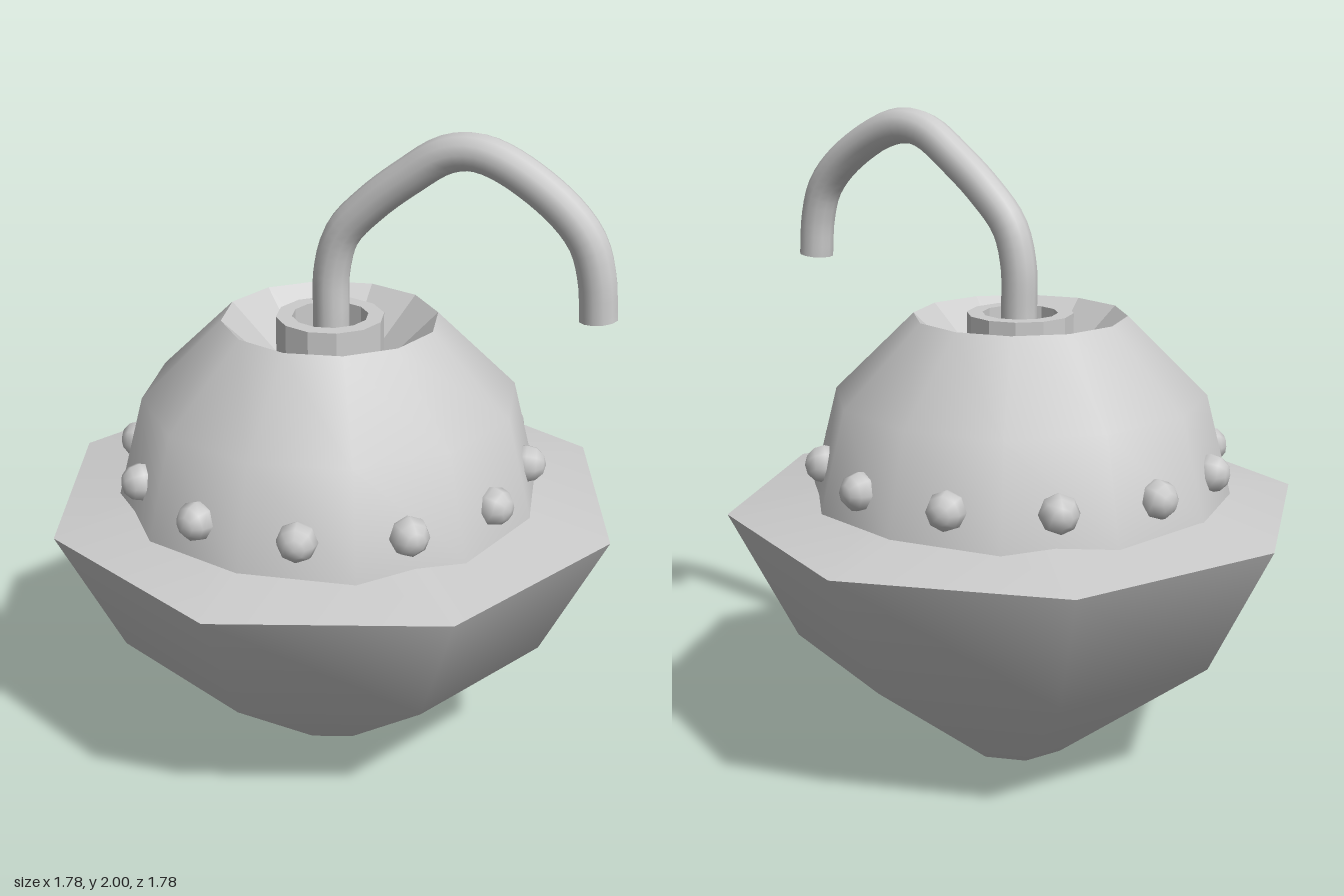
import * as THREE from 'three';

const smooth = new THREE.MeshStandardMaterial({ color: 0xcccccc });
const faceted = new THREE.MeshStandardMaterial({ color: 0xcccccc, flatShading: true });

function add(parent, name, geometry, material = smooth) {
  const mesh = new THREE.Mesh(geometry, material);
  mesh.name = name;
  parent.add(mesh);
  return mesh;
}

// Revolve [radius, height] pairs; profiles run so that the outside faces out
const lathe = (points, sides) =>
  new THREE.LatheGeometry(points.map(([r, y]) => new THREE.Vector2(r, y)), sides);

export function createModel() {
  const model = new THREE.Group();

  // Octagonal hull: flat foot, flared sides and a gently sloping deck
  const hull = new THREE.Group();
  hull.name = 'hull';
  model.add(hull);
  add(hull, 'hullFoot', lathe([[0, 0], [0.17, 0]], 8));
  add(hull, 'hullSides', lathe([[0.17, 0], [0.69, 0.41], [0.89, 0.815]], 8));
  add(hull, 'hullDeck', lathe([[0.89, 0.815], [0.4, 0.902]], 8));

  // Everything above the deck shares a slightly shifted axis
  const upper = new THREE.Group();
  upper.name = 'upperAssembly';
  upper.position.set(-0.004, 0, 0.015);
  model.add(upper);

  // Twelve-sided dome with a faceted funnel sunk into its top
  add(upper, 'dome', lathe([[0.665, 0.8], [0.65, 0.855], [0.572, 1.16], [0.327, 1.4]], 12));
  add(upper, 'funnel', lathe([[0.327, 1.4], [0.15, 1.23]], 12), faceted);

  // Hollow collar around the foot of the hook
  add(upper, 'collar', lathe(
    [[0.163, 1.2], [0.163, 1.406], [0.115, 1.406], [0.115, 1.25], [0, 1.25]], 12), faceted);

  // Ring of rivets, one on each dome face, poles pointing outward
  const rivetGeometry = new THREE.SphereGeometry(0.06, 8, 6).rotateX(Math.PI / 2);
  const rivets = new THREE.Group();
  rivets.name = 'rivets';
  upper.add(rivets);
  for (let i = 0; i < 12; i++) {
    const angle = (i + 0.5) * Math.PI / 6;
    const rivet = add(rivets, 'rivet', rivetGeometry);
    rivet.position.set(0.605 * Math.sin(angle), 0.957, 0.605 * Math.cos(angle));
    rivet.rotation.y = angle;
  }

  // Bent hook rod with a flat cut end
  const path = new THREE.CatmullRomCurve3([
    [0.004, 1.24], [0.004, 1.4], [0.006, 1.55], [0.04, 1.665], [0.13, 1.765],
    [0.24, 1.855], [0.35, 1.929], [0.435, 1.945], [0.53, 1.92], [0.69, 1.82],
    [0.77, 1.73], [0.803, 1.63], [0.815, 1.51],
  ].map(([x, y]) => new THREE.Vector3(x, y, 0)));
  const hook = new THREE.Group();
  hook.name = 'hook';
  upper.add(hook);
  add(hook, 'hookRod', new THREE.TubeGeometry(path, 48, 0.055, 12));
  const end = add(hook, 'hookEnd', new THREE.CircleGeometry(0.055, 12));
  end.position.copy(path.getPoint(1));
  end.quaternion.setFromUnitVectors(new THREE.Vector3(0, 0, 1), path.getTangent(1));

  return model;
}
